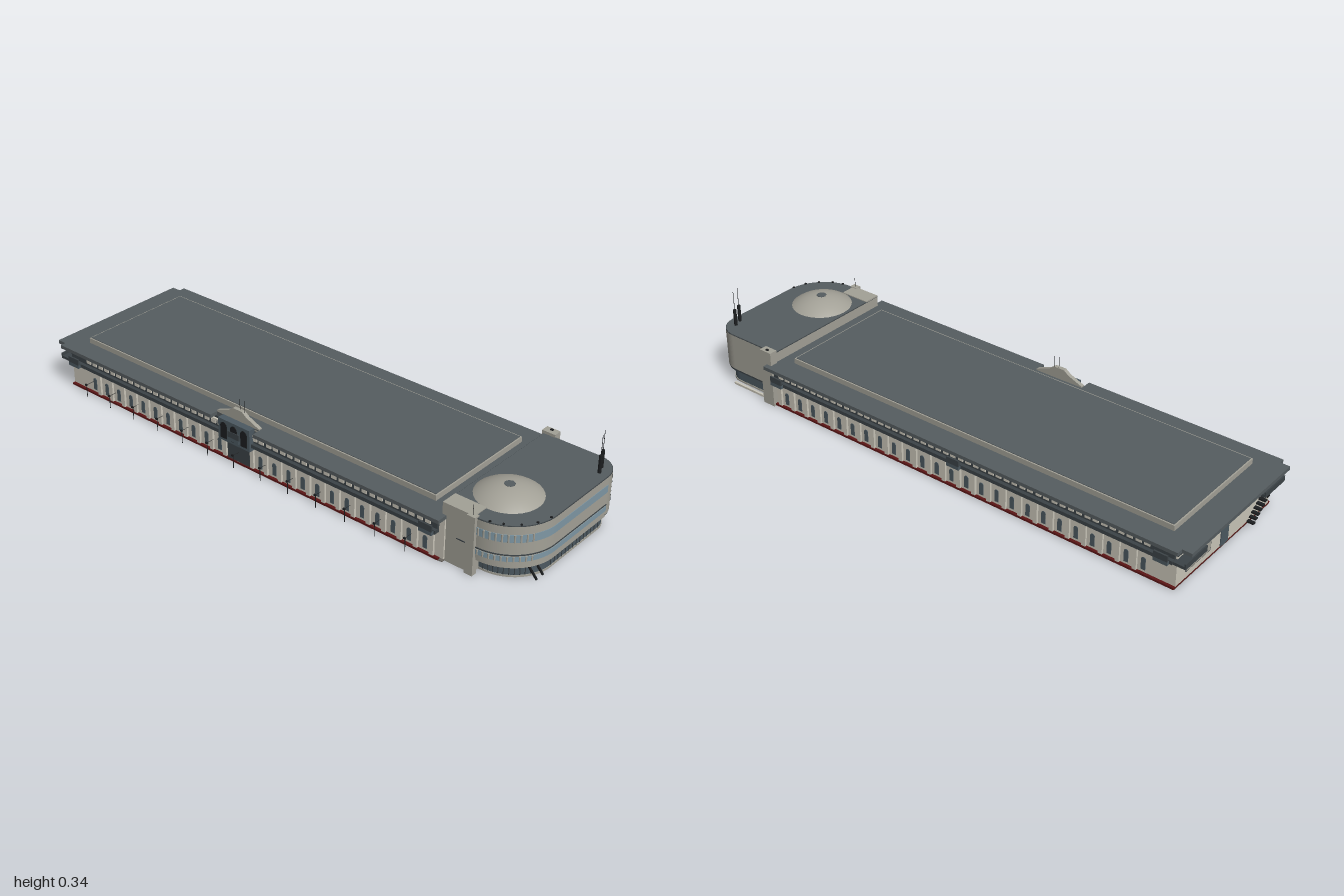
import * as THREE from 'three';

const mat = (color) => new THREE.MeshStandardMaterial({ color, side: THREE.DoubleSide });
const M = {
  wall: mat(0xcac6b9), stone: mat(0xa3a197), roof: mat(0x565d60), dark: mat(0x3c4347),
  glass: mat(0x7f98a5), deepGlass: mat(0x4c5961), red: mat(0x5c1616), black: mat(0x1c1e20), floor: mat(0x6a6660),
};

export function createModel() {
  const root = new THREE.Group();
  let parent = root;

  const add = (name, geo, m) => {
    const mesh = new THREE.Mesh(geo, m);
    mesh.name = name;
    parent.add(mesh);
    return mesh;
  };
  const section = (name) => {
    parent = new THREE.Group();
    parent.name = name;
    root.add(parent);
  };
  // Box given by its limits on each axis
  const box = (name, m, x0, x1, y0, y1, z0, z1) => {
    const g = new THREE.BoxGeometry(Math.abs(x1 - x0), y1 - y0, Math.abs(z1 - z0));
    g.translate((x0 + x1) / 2, (y0 + y1) / 2, (z0 + z1) / 2);
    return add(name, g, m);
  };
  // Rod between two points
  const rod = (name, m, a, b, r) => {
    const p = new THREE.Vector3(...a), q = new THREE.Vector3(...b);
    const mesh = add(name, new THREE.CylinderGeometry(r, r, p.distanceTo(q), 8), m);
    mesh.position.copy(p).add(q).multiplyScalar(0.5);
    mesh.quaternion.setFromUnitVectors(new THREE.Vector3(0, 1, 0), q.sub(p).normalize());
    return mesh;
  };
  // Plan outline (x, z) raised between two heights
  const slab = (name, m, shape, y0, y1) => {
    const g = new THREE.ExtrudeGeometry(shape, { depth: y1 - y0, bevelEnabled: false, curveSegments: 20 });
    g.rotateX(Math.PI / 2).translate(0, y1, 0);
    return add(name, g, m);
  };
  const polygon = (pts) => new THREE.Shape(pts.map((p) => new THREE.Vector2(...p)));
  // Plan with two rounded front corners
  const plan = (x0, x1, zBack, zFront, rLeft, rRight) => {
    const s = new THREE.Shape();
    s.moveTo(x0, zBack);
    s.lineTo(x1, zBack);
    s.lineTo(x1, zFront - rRight);
    if (rRight) s.absarc(x1 - rRight, zFront - rRight, rRight, 0, Math.PI / 2, false);
    s.lineTo(x0 + rLeft, zFront);
    s.absarc(x0 + rLeft, zFront - rLeft, rLeft, Math.PI / 2, Math.PI, false);
    s.lineTo(x0, zBack);
    return s;
  };
  // Arched panel standing on y = 0, width w, height h
  const arch = (w, h, depth) => {
    const s = new THREE.Shape();
    s.moveTo(-w / 2, 0);
    s.lineTo(w / 2, 0);
    s.lineTo(w / 2, h - w / 2);
    s.absarc(0, h - w / 2, w / 2, 0, Math.PI, false);
    return new THREE.ExtrudeGeometry(s, { depth, bevelEnabled: false, curveSegments: 6 });
  };

  // Long hall
  section('hall');
  box('hallWalls', M.wall, -0.272, 0.272, 0.008, 0.15, -0.945, 0.72);
  box('hallBase', M.red, -0.282, 0.282, 0.002, 0.009, -0.945, 0.705);
  box('hallFloor', M.floor, -0.278, 0.278, 0, 0.003, -0.945, 0.72);
  const hallRoof = polygon([
    [-0.305, 0.72], [-0.305, -0.03], [-0.275, -0.03], [-0.275, -0.22], [-0.305, -0.22], [-0.305, -0.965],
    [-0.285, -0.965], [-0.285, -1], [0.285, -1], [0.285, -0.965], [0.308, -0.965], [0.308, 0.72],
  ]);
  slab('hallRoof', M.roof, hallRoof, 0.151, 0.164);
  box('raisedRoof', M.stone, -0.225, 0.225, 0.16, 0.183, -0.9, 0.65);
  box('raisedRoofTop', M.roof, -0.22, 0.22, 0.183, 0.185, -0.895, 0.645);

  // Side walls: arched windows, piers, gallery with colonnade
  for (const s of [1, -1]) {
    section(s > 0 ? 'leftSide' : 'rightSide');
    for (let i = 0; i < 25; i++) {
      const z = 0.65 - i * 0.0617;
      const w = add('archedWindow', arch(0.016, 0.046, 0.004), M.deepGlass);
      w.rotation.y = s * Math.PI / 2;
      w.position.set(s * 0.27, 0.018, z);
      box('pier', M.wall, s * 0.27, s * 0.28, 0.009, 0.1, z + 0.021, z + 0.036);
      for (const d of [-0.015, 0.015]) {
        box('galleryColumn', M.wall, s * 0.277, s * 0.284, 0.121, 0.134, z + d - 0.01, z + d + 0.01);
      }
    }
    box('galleryGlazing', M.dark, s * 0.265, s * 0.28, 0.11, 0.151, -0.94, 0.7);
    box('galleryLedge', M.dark, s * 0.265, s * 0.293, 0.099, 0.112, -0.94, 0.7);
    box('galleryTopBand', M.wall, s * 0.27, s * 0.287, 0.138, 0.143, -0.94, 0.7);
    for (const z of [0.67, -0.12, -0.905]) {
      box('balcony', M.deepGlass, s * 0.27, s * 0.304, 0.097, 0.11, z - 0.025, z + 0.025);
      box('balconyRail', M.dark, s * 0.298, s * 0.304, 0.11, 0.132, z - 0.025, z + 0.025);
    }
  }

  // Side entrance with gable, arched windows and masts
  section('sideEntrance');
  box('entranceFront', M.deepGlass, -0.3, -0.265, 0.085, 0.165, -0.19, -0.05);
  const gable = new THREE.ExtrudeGeometry(
    polygon([[-0.095, 0.155], [0.095, 0.155], [0.095, 0.168], [0.04, 0.19], [0.02, 0.205], [-0.02, 0.205], [-0.04, 0.19], [-0.095, 0.168]]),
    { depth: 0.014, bevelEnabled: false });
  gable.rotateY(-Math.PI / 2).translate(-0.261, 0, -0.125);
  add('gable', gable, M.stone);
  for (const z of [-0.165, -0.12, -0.075]) {
    const w = add('entranceWindow', arch(0.028, 0.06, 0.003), M.black);
    w.rotation.y = -Math.PI / 2;
    w.position.set(-0.299, 0.095, z);
  }
  for (const z of [-0.1, -0.12]) rod('mast', M.black, [-0.267, 0.19, z], [-0.267, 0.245, z], 0.0008);
  box('entranceDoor', M.dark, -0.28, -0.27, 0.01, 0.085, -0.17, -0.07);

  // Row of lamp posts
  section('lampPosts');
  for (let i = 0; i < 13; i++) {
    const z = -0.84 + i * 0.12;
    rod('lampPost', M.black, [-0.306, 0, z], [-0.306, 0.05, z], 0.0012);
    rod('lampArm', M.black, [-0.309, 0.048, z], [-0.275, 0.048, z], 0.0007);
    box('lampHead', M.black, -0.311, -0.306, 0.046, 0.052, z - 0.004, z + 0.004);
  }

  // Rear wall
  section('rearWall');
  box('rearWindowFrame', M.dark, 0.08, 0.22, 0.032, 0.09, -0.947, -0.94);
  box('rearWindow', M.stone, 0.083, 0.217, 0.035, 0.087, -0.948, -0.94);
  const door = add('rearDoor', arch(0.044, 0.075, 0.004), M.deepGlass);
  door.position.set(0, 0.008, -0.948);
  for (const s of [1, -1]) {
    box('rearBalcony', M.dark, s * 0.17, s * 0.29, 0.1, 0.11, -0.985, -0.94);
    box('rearBalconyRail', M.dark, s * 0.17, s * 0.29, 0.11, 0.12, -0.985, -0.98);
    box('rearGlazing', M.dark, s * 0.18, s * 0.272, 0.12, 0.145, -0.948, -0.94);
  }
  for (let i = 0; i < 9; i++) {
    const x = -0.255 + i * 0.013;
    box('stairStep', M.black, x, x + 0.013, 0.088 - i * 0.01, 0.094 - i * 0.01, -0.97, -0.945);
  }

  // Rounded front building
  section('frontBuilding');
  slab('groundFloorGlass', M.deepGlass, plan(-0.23, 0.245, 0.76, 0.978, 0.145, 0.065), 0.003, 0.06);
  slab('groundSill', M.stone, plan(-0.232, 0.247, 0.7, 0.98, 0.147, 0.067), 0, 0.007);
  box('groundFloorBack', M.stone, -0.262, 0.262, 0, 0.06, 0.7, 0.77);
  const body = plan(-0.265, 0.265, 0.705, 0.998, 0.165, 0.085);
  slab('soffit', M.dark, plan(-0.258, 0.264, 0.705, 0.996, 0.16, 0.084), 0.055, 0.064);
  slab('upperFloors', M.stone, body, 0.062, 0.2);
  slab('lowerApron', M.stone, plan(-0.263, 0.18, 0.71, 0.997, 0.163, 0), 0.053, 0.075);
  slab('roofEdge', M.dark, body, 0.2, 0.2015);
  slab('frontRoof', M.roof, plan(-0.263, 0.263, 0.707, 0.996, 0.163, 0.083), 0.2, 0.203);
  const wrap = plan(-0.2665, 0.18, 0.83, 0.9995, 0.1665, 0);
  slab('upperWindowBand', M.glass, wrap, 0.145, 0.172);
  slab('lowerWindowBand', M.glass, wrap, 0.077, 0.095);
  slab('floorBelt', M.dark, plan(-0.268, 0.18, 0.76, 1, 0.167, 0), 0.099, 0.102);

  // Mullions round the curved corner and along the ground floor
  for (let i = 0; i < 10; i++) {
    const a = Math.PI * (0.67 + i * 0.036);
    const c = Math.cos(a), n = Math.sin(a);
    for (const [y0, y1] of [[0.145, 0.172], [0.077, 0.095]]) {
      rod('cornerMullion', M.stone, [-0.1 + 0.1655 * c, y0, 0.833 + 0.1655 * n], [-0.1 + 0.1655 * c, y1, 0.833 + 0.1655 * n], 0.0035);
    }
    rod('groundMullion', M.dark, [-0.085 + 0.145 * c, 0.006, 0.833 + 0.145 * n], [-0.085 + 0.145 * c, 0.056, 0.833 + 0.145 * n], 0.0015);
  }
  for (let i = 0; i < 14; i++) {
    const x = -0.085 + i * 0.02;
    box('groundMullion', M.dark, x, x + 0.0015, 0.006, 0.056, 0.975, 0.98);
  }
  for (const x of [-0.185, -0.152]) {
    rod('slantedStrut', M.black, [x, 0.055, 0.965], [x + 0.02, 0.002, 0.985], 0.004);
  }

  // Waisted window on the right-hand curved corner
  const pos = [], idx = [], rows = 16;
  for (let i = 0; i <= rows; i++) {
    const t = (i / rows) * 2 - 1;
    const end = 0.56 + 0.23 * t * t;
    for (let j = 0; j <= 4; j++) {
      const a = 0.515 + (end - 0.515) * (j / 4);
      pos.push(0.18 + 0.0862 * Math.sin(a), 0.1325 + t * 0.0525, 0.913 + 0.0862 * Math.cos(a));
      if (i < rows && j < 4) {
        const k = i * 5 + j;
        idx.push(k, k + 1, k + 6, k, k + 6, k + 5);
      }
    }
  }
  const waist = new THREE.BufferGeometry();
  waist.setAttribute('position', new THREE.Float32BufferAttribute(pos, 3));
  waist.setIndex(idx);
  waist.computeVertexNormals();
  add('waistedWindow', waist, M.deepGlass);

  // Corner towers and side details
  box('leftTower', M.stone, 0.26, 0.29, 0, 0.213, 0.7, 0.75);
  box('leftTowerCap', M.black, 0.275, 0.282, 0.213, 0.217, 0.72, 0.73);
  box('leftTowerWindow', M.deepGlass, 0.26, 0.267, 0.03, 0.19, 0.75, 0.765);
  box('lowWall', M.wall, 0.262, 0.27, 0, 0.008, 0.75, 0.92);
  box('rightTower', M.stone, -0.277, -0.255, 0, 0.208, 0.8, 0.83);
  box('rightAnnex', M.stone, -0.266, -0.205, 0, 0.206, 0.705, 0.82);
  rod('towerMast', M.black, [-0.266, 0.208, 0.815], [-0.266, 0.243, 0.815], 0.0008);

  // Shallow dome: a spherical cap 0.22 wide and 0.037 high
  const R = (0.11 ** 2 + 0.037 ** 2) / (2 * 0.037);
  const dome = add('dome', new THREE.SphereGeometry(R, 32, 10, 0, Math.PI * 2, 0, Math.asin(0.11 / R)), M.stone);
  dome.position.set(-0.098, 0.239 - R, 0.825);
  rod('domeCap', M.roof, [-0.098, 0.236, 0.825], [-0.098, 0.2395, 0.825], 0.018);

  // Chimneys with antennas, and roof-edge lights
  for (const [x, z] of [[0.178, 0.965], [0.209, 0.953]]) {
    rod('chimney', M.black, [x, 0.2, z], [x, 0.265, z], 0.006);
    rod('antenna', M.black, [x, 0.265, z], [x, 0.335, z], 0.0009);
  }
  for (const x of [-0.256, -0.242, -0.211, -0.17, -0.122]) {
    const z = 0.833 + Math.sqrt(0.16 ** 2 - (x + 0.1) ** 2);
    box('roofLight', M.black, x - 0.003, x + 0.003, 0.202, 0.207, z - 0.003, z + 0.003);
  }
  return root;
}
